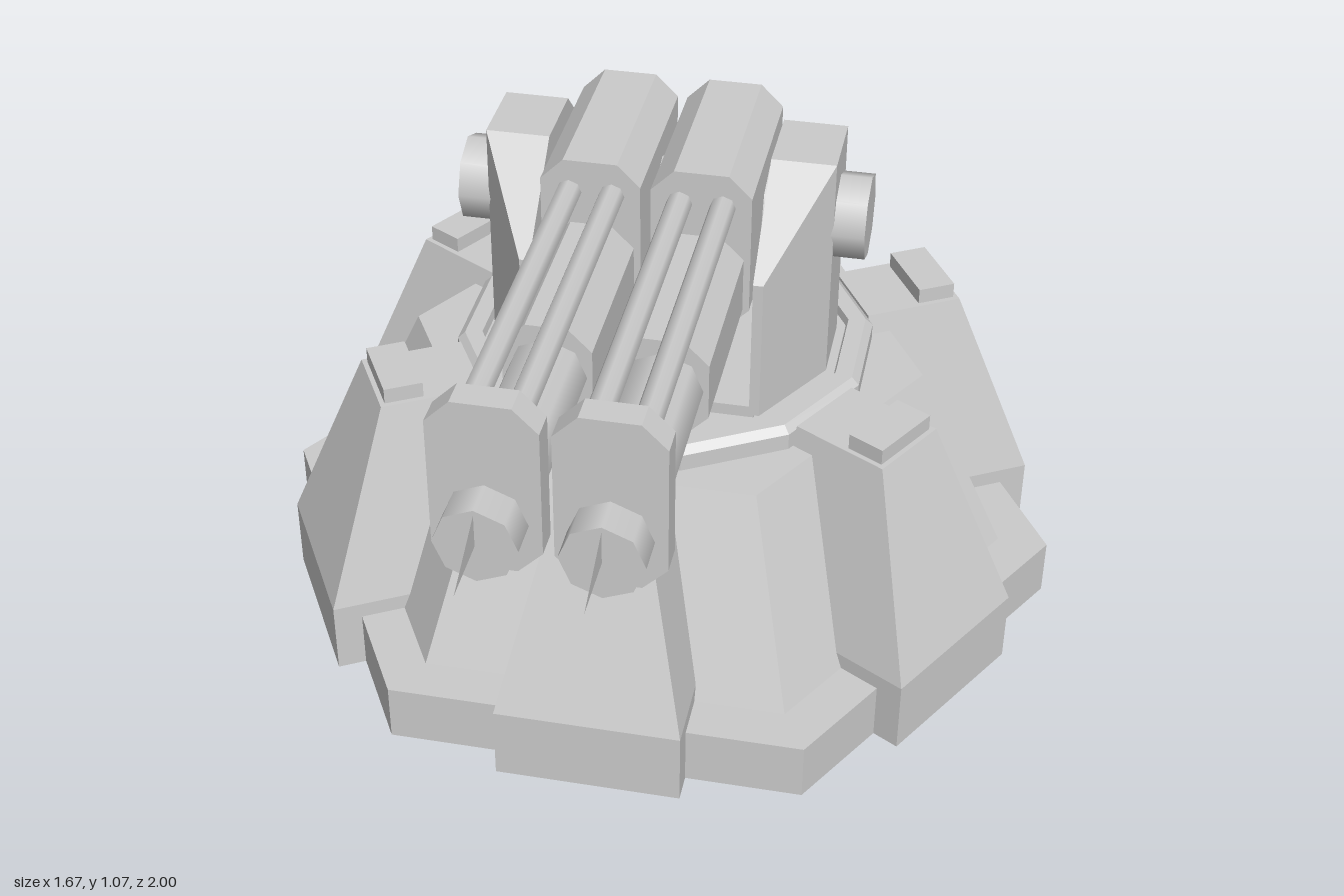
import * as THREE from 'three';
import { ConvexGeometry } from 'three/addons/geometries/ConvexGeometry.js';

const flat = new THREE.MeshStandardMaterial({ color: 0xcccccc, flatShading: true });
const smooth = new THREE.MeshStandardMaterial({ color: 0xcccccc });
const thin = new THREE.MeshStandardMaterial({ color: 0xcccccc, flatShading: true, side: THREE.DoubleSide });

function add(parent, name, geometry, material = flat) {
  const mesh = new THREE.Mesh(geometry, material);
  mesh.name = name;
  parent.add(mesh);
  return mesh;
}

// Upright prism or frustum with a flat side facing the front
function prism(rBottom, rTop, y0, y1, sides) {
  return new THREE.CylinderGeometry(rTop, rBottom, y1 - y0, sides, 1, false, Math.PI / sides)
    .translate(0, (y0 + y1) / 2, 0);
}

// Rod along z
function rod(r, z0, z1, x, y, sides = 8) {
  return new THREE.CylinderGeometry(r, r, z1 - z0, sides).rotateX(Math.PI / 2)
    .translate(x, y, (z0 + z1) / 2);
}

// Block along z whose cross-section has four cut corners
function cutBlock(halfWidth, y0, y1, cut, z0, z1) {
  const w = halfWidth, c = cut;
  const shape = new THREE.Shape([
    [-w + c, y0], [w - c, y0], [w, y0 + c], [w, y1 - c],
    [w - c, y1], [-w + c, y1], [-w, y1 - c], [-w, y0 + c],
  ].map(([x, y]) => new THREE.Vector2(x, y)));
  return new THREE.ExtrudeGeometry(shape, { depth: z1 - z0, bevelEnabled: false }).translate(0, 0, z0);
}

function hull(points) {
  return new ConvexGeometry(points.map((p) => new THREE.Vector3(...p)));
}

function createButtress() {
  const g = new THREE.Group();
  g.name = 'buttress';
  const points = [];
  for (const s of [-1, 1]) {
    points.push(
      [s * 0.185, 0, 0.4], [s * 0.185, 0, 0.78],
      [s * 0.185, 0.155, 0.4], [s * 0.185, 0.155, 0.78],
      [s * 0.088, 0.567, 0.42], [s * 0.088, 0.567, 0.63]);
  }
  add(g, 'buttressBody', hull(points));
  add(g, 'buttressCap', new THREE.BoxGeometry(0.155, 0.04, 0.08).translate(0, 0.58, 0.58));
  return g;
}

// Cradle side plate: full profile inside, narrowed in plan towards the outside
function createArm(side) {
  const points = [];
  for (const x of [0.22, 0.24]) {
    for (const [y, z] of [[0.565, 0.265], [0.87, 0.265], [1.043, 0.08], [1.043, -0.08], [0.87, -0.26], [0.565, -0.26]]) {
      points.push([side * x, y, z]);
    }
  }
  for (const y of [0.565, 1.043]) for (const z of [0.08, -0.08]) points.push([side * 0.348, y, z]);
  return hull(points);
}

function createGun() {
  const g = new THREE.Group();
  g.name = 'gun';
  add(g, 'receiver', cutBlock(0.098, 0.733, 1.073, 0.045, -0.16, 0.215));
  add(g, 'barrelShroud', cutBlock(0.085, 0.733, 0.937, 0.045, 0.215, 0.58));
  add(g, 'barrel', rod(0.075, 0.58, 1.09, 0, 0.835), smooth);
  add(g, 'breechCap', rod(0.075, -0.22, -0.16, 0, 0.835), smooth);
  add(g, 'muzzleClamp', cutBlock(0.098, 0.733, 1.073, 0.045, 0.965, 1.02));
  for (const s of [-1, 1]) add(g, 'recoilRod', rod(0.025, 0.215, 0.965, s * 0.042, 1.005), smooth);
  // Upright fin at the muzzle
  const fin = new THREE.Shape([[1.09, 0.835], [1.22, 0.835], [1.09, 0.9]].map(([z, y]) => new THREE.Vector2(-z, y)));
  add(g, 'muzzleFin', new THREE.ShapeGeometry(fin).rotateY(Math.PI / 2), thin);
  return g;
}

export function createModel() {
  const model = new THREE.Group();
  model.name = 'gunTurret';

  // Six-sided base
  const base = new THREE.Group();
  base.name = 'base';
  model.add(base);
  add(base, 'foundation', prism(0.834, 0.834, 0, 0.122, 6));
  add(base, 'slopedWall', prism(0.73, 0.54, 0.122, 0.525, 6));
  for (let i = 0; i < 6; i++) {
    const buttress = createButtress();
    buttress.rotation.y = (i * Math.PI) / 3;
    base.add(buttress);
  }

  // Twelve-sided turntable ring and floor
  const k = 1 / Math.cos(Math.PI / 12);
  const ring = [[0.42, 0.52], [0.42, 0.56], [0.405, 0.575], [0.37, 0.575], [0.36, 0.52]]
    .map(([r, y]) => new THREE.Vector2(r * k, y));
  add(base, 'turntableRing', new THREE.LatheGeometry(ring, 12, Math.PI / 12));
  add(base, 'turntableFloor', prism(0.365 * k, 0.365 * k, 0.52, 0.56, 12));

  // Cradle
  const cradle = new THREE.Group();
  cradle.name = 'cradle';
  model.add(cradle);
  add(cradle, 'cradleFloor', new THREE.BoxGeometry(0.46, 0.03, 0.525).translate(0, 0.57, 0.0025));
  for (const s of [-1, 1]) add(cradle, s > 0 ? 'leftArm' : 'rightArm', createArm(s));
  add(cradle, 'axle', new THREE.CylinderGeometry(0.088, 0.088, 0.82, 8).rotateZ(Math.PI / 2)
    .translate(0, 0.89, 0), smooth);

  // Twin guns
  for (const s of [-1, 1]) {
    const gun = createGun();
    gun.position.x = s * 0.108;
    model.add(gun);
  }

  // Turret axis sits behind the middle because the guns reach forward
  for (const part of model.children) part.position.z = -0.22;
  return model;
}
